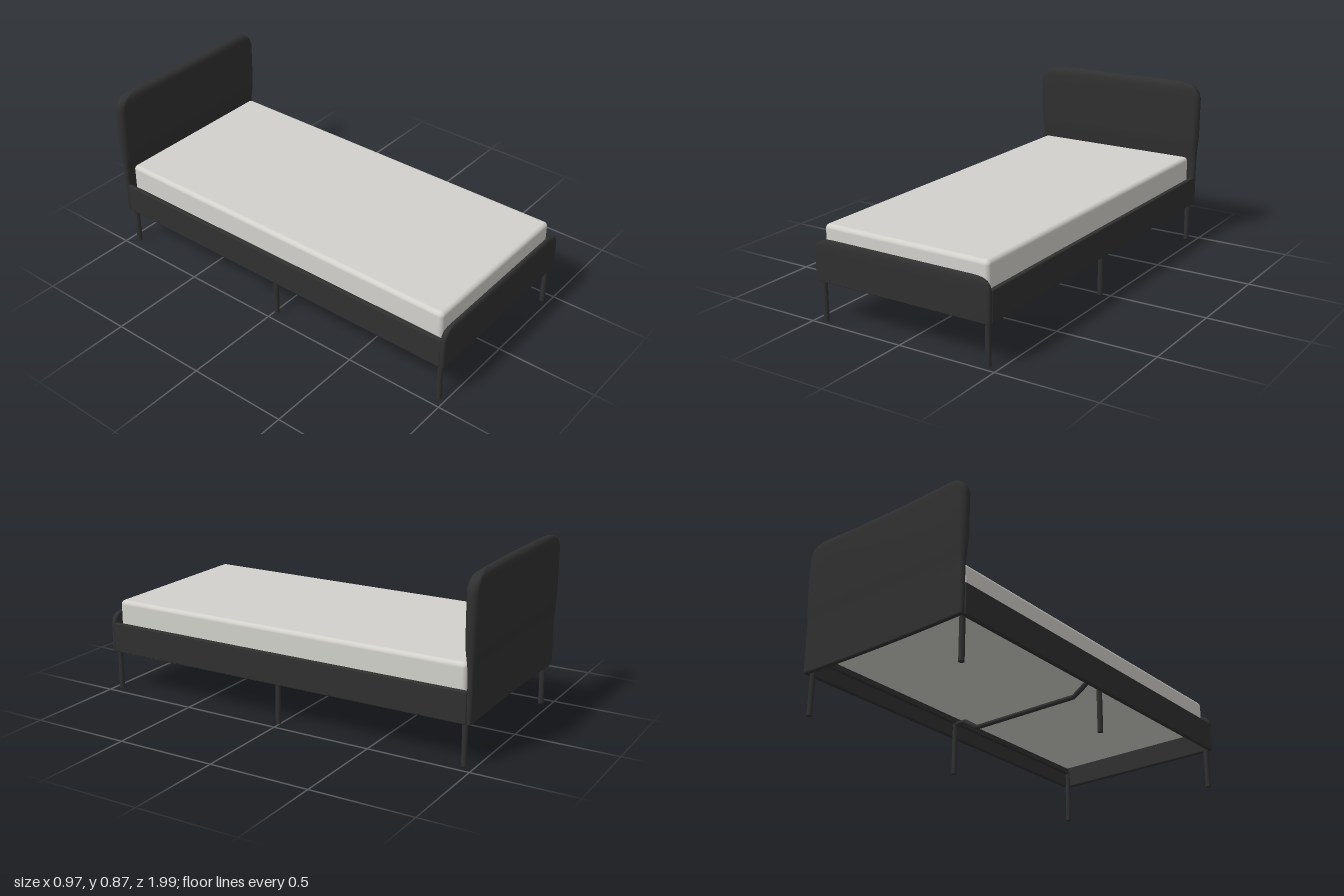
import * as THREE from 'three';
import { RoundedBoxGeometry } from 'three/addons/geometries/RoundedBoxGeometry.js';

// Padded board lofted from stadium-shaped sections [y, half width, half depth, z]; bend pushes the ends in z
function paddedBoard(sections, bend) {
  const pos = [], index = [];
  const arc = 6, side = 8, n = 2 * (arc + side);
  for (const [y, w, d, z] of sections) {
    const s = w - d;
    const add = (x, dz) => pos.push(x, y, z + dz + bend * (x / w) ** 2);
    for (const sgn of [1, -1]) {
      for (let k = 0; k <= arc; k++) {
        const a = -Math.PI / 2 + Math.PI * k / arc;
        add(sgn * (s + d * Math.cos(a)), sgn * d * Math.sin(a));
      }
      for (let m = 1; m < side; m++) add(sgn * s * (1 - 2 * m / side), sgn * d);
    }
  }
  const rows = sections.length;
  for (let r = 0; r < rows - 1; r++) {
    for (let i = 0; i < n; i++) {
      const a = r * n + i, b = r * n + (i + 1) % n;
      index.push(a, a + n, b, b, a + n, b + n);
    }
  }
  // Close bottom and top
  for (const top of [false, true]) {
    const [y, , , z] = sections[top ? rows - 1 : 0];
    const base = top ? (rows - 1) * n : 0, c = pos.length / 3;
    pos.push(0, y, z);
    for (let i = 0; i < n; i++) {
      const a = base + i, b = base + (i + 1) % n;
      if (top) index.push(c, b, a); else index.push(c, a, b);
    }
  }
  const g = new THREE.BufferGeometry();
  g.setAttribute('position', new THREE.Float32BufferAttribute(pos, 3));
  g.setIndex(index);
  g.computeVertexNormals();
  return g;
}

export function createModel() {
  const group = new THREE.Group();
  const charcoal = new THREE.MeshStandardMaterial({ color: 0x303031 });
  charcoal.name = 'charcoal fabric';
  const linen = new THREE.MeshStandardMaterial({ color: 0xd2d1cc });
  linen.name = 'pale linen';

  const add = (name, geometry, material, x = 0, y = 0, z = 0) => {
    const mesh = new THREE.Mesh(geometry, material);
    mesh.name = name;
    mesh.position.set(x, y, z);
    group.add(mesh);
  };

  // Headboard: thin at the frame, padded above the mattress
  add('headboard', paddedBoard([
    [0.2, 0.468, 0.008, -0.966], [0.205, 0.475, 0.014, -0.966],
    [0.42, 0.475, 0.014, -0.966], [0.47, 0.477, 0.018, -0.965],
    [0.52, 0.481, 0.024, -0.963], [0.58, 0.485, 0.027, -0.963],
    [0.78, 0.486, 0.028, -0.963], [0.81, 0.478, 0.028, -0.963],
    [0.83, 0.465, 0.027, -0.963], [0.845, 0.447, 0.024, -0.963],
    [0.855, 0.42, 0.019, -0.963], [0.862, 0.38, 0.011, -0.963],
    [0.865, 0.34, 0.003, -0.963],
  ], -0.009), charcoal);

  // Footboard
  add('footboard', paddedBoard([
    [0.2, 0.469, 0.008, 0.981], [0.205, 0.476, 0.014, 0.981],
    [0.345, 0.476, 0.014, 0.981], [0.37, 0.469, 0.014, 0.981],
    [0.386, 0.456, 0.013, 0.981], [0.397, 0.435, 0.011, 0.981],
    [0.403, 0.405, 0.007, 0.981], [0.406, 0.37, 0.002, 0.981],
  ], 0), charcoal);

  // Mattress
  add('mattress', new RoundedBoxGeometry(0.89, 0.17, 1.9, 4, 0.022), linen, 0, 0.38, 0.005);

  // Side rails, inner ledges and legs
  const rail = new RoundedBoxGeometry(0.024, 0.15, 1.94, 2, 0.006);
  const ledge = new THREE.BoxGeometry(0.022, 0.025, 1.9);
  const leg = new THREE.CylinderGeometry(0.013, 0.013, 0.28, 16);
  for (const s of [1, -1]) {
    const label = s > 0 ? 'left' : 'right';
    add(label + 'SideRail', rail, charcoal, s * 0.464, 0.275, 0.005);
    add(label + 'Ledge', ledge, charcoal, s * 0.443, 0.283, 0.005);
    [['Front', 0.965], ['Middle', 0.01], ['Back', -0.95]].forEach(([place, z]) =>
      add(label + place + 'Leg', leg, charcoal, s * 0.447, 0.14, z));
  }

  // Cross tube that dips below the mattress
  const path = new THREE.CurvePath();
  const pts = [[-0.455, 0.268], [-0.38, 0.268], [-0.3, 0.216], [0.3, 0.216], [0.38, 0.268], [0.455, 0.268]]
    .map(([x, y]) => new THREE.Vector3(x, y, 0.01));
  for (let i = 0; i < pts.length - 1; i++) path.add(new THREE.LineCurve3(pts[i], pts[i + 1]));
  add('crossTube', new THREE.TubeGeometry(path, 60, 0.012, 10), charcoal);

  return group;
}
